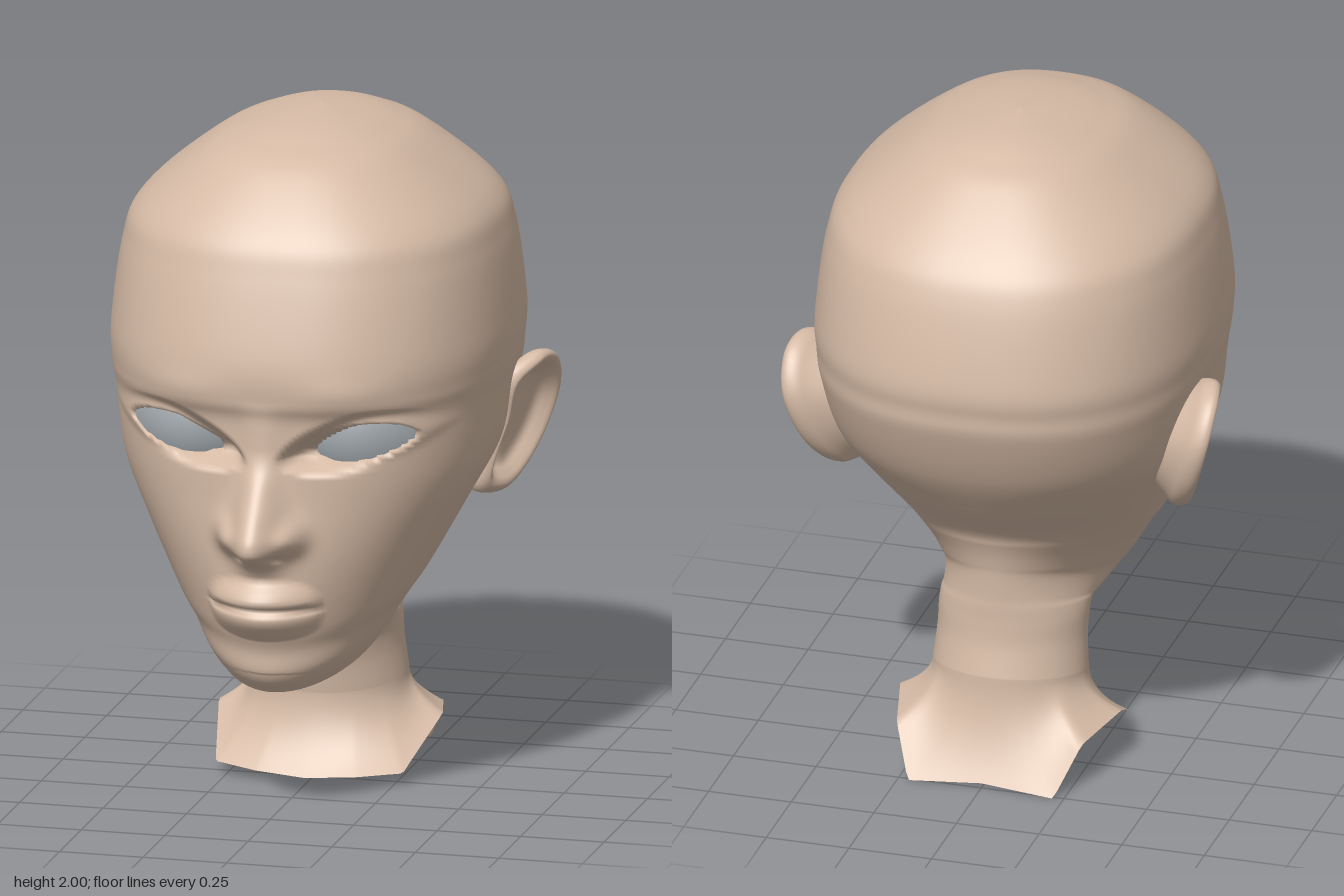
import * as THREE from 'three';

const { smoothstep, clamp, lerp } = THREE.MathUtils;
const spow = (v, p) => Math.sign(v) * Math.abs(v) ** p;
const gauss = (x, s) => Math.exp(-((x / s) ** 2));

// Catmull-Rom through a short list of values
function spline(a, s) {
  const k = clamp(Math.floor(s), 0, a.length - 2), f = clamp(s - k, 0, 1);
  const b = a[k], c = a[k + 1], p = k > 0 ? a[k - 1] : b, d = k + 2 < a.length ? a[k + 2] : c;
  return b + 0.5 * f * (c - p + f * (2 * p - 5 * b + 4 * c - d + f * (3 * (b - c) + d - p)));
}

// Smooth sheet of rows x cols points, closed around the columns
function sheet(rows, cols, point, flip) {
  const pos = [], index = [];
  for (let i = 0; i <= rows; i++) for (let j = 0; j < cols; j++) pos.push(...point(i / rows, j / cols));
  for (let i = 0; i < rows; i++) {
    for (let j = 0; j < cols; j++) {
      const k = (j + 1) % cols;
      const a = i * cols + j, b = a + cols, c = (i + 1) * cols + k, d = i * cols + k;
      if (flip) index.push(a, c, b, a, d, c);
      else index.push(a, b, c, a, c, d);
    }
  }
  const g = new THREE.BufferGeometry();
  g.setAttribute('position', new THREE.Float32BufferAttribute(pos, 3));
  g.setIndex(index);
  g.computeVertexNormals();
  return g;
}

// Tilted rings from crown to neck: front y, front z, back y, back z, half width
const rings = [
  [2.0, -0.1, 2.0, -0.1, 0],
  [1.985, 0.09, 1.985, -0.27, 0.1],
  [1.955, 0.23, 1.955, -0.37, 0.21],
  [1.9, 0.36, 1.9, -0.47, 0.32],
  [1.75, 0.51, 1.75, -0.63, 0.5],
  [1.63, 0.565, 1.63, -0.7, 0.55],
  [1.4, 0.625, 1.4, -0.755, 0.578],
  [1.28, 0.625, 1.3, -0.75, 0.575],
  [1.2, 0.603, 1.22, -0.735, 0.565],
  [1.0, 0.6, 1.05, -0.655, 0.535],
  [0.8, 0.6, 0.91, -0.55, 0.455],
  [0.6, 0.573, 0.79, -0.445, 0.37],
  [0.52, 0.555, 0.74, -0.42, 0.325],
  [0.45, 0.552, 0.7, -0.405, 0.29],
  [0.4, 0.515, 0.66, -0.395, 0.26],
  [0.375, 0.45, 0.63, -0.39, 0.238],
  [0.4, 0.22, 0.56, -0.385, 0.222],
  [0.435, 0.12, 0.52, -0.385, 0.22],
  [0.42, 0.055, 0.47, -0.385, 0.22],
  [0.35, 0.022, 0.4, -0.39, 0.22],
  [0.25, 0.005, 0.31, -0.41, 0.228],
];
const ringColumns = rings[0].map((_, c) => rings.map(r => r[c]));

// Ragged lower edge of the neck, front to back: fraction, x, y, z
const hem = [
  [0, 0, 0.02, 0.1], [0.17, 0.15, 0.03, 0.09], [0.33, 0.28, 0.04, 0.05], [0.55, 0.335, 0.16, -0.2],
  [0.72, 0.28, 0.14, -0.42], [0.86, 0.22, 0.0, -0.51], [1, 0, 0.015, -0.5],
];
function hemPoint(q) {
  let k = 0;
  while (k < hem.length - 2 && q > hem[k + 1][0]) k++;
  const f = (q - hem[k][0]) / (hem[k + 1][0] - hem[k][0]);
  return [1, 2, 3].map(c => lerp(hem[k][c], hem[k + 1][c], f));
}

// Almond eye outline and the curved surface of the eye
const EYE_X = 0.28, EYE_W = 0.138, LID_P = 1.6;
const eyeLine = x => 1.143 + 0.2 * (x - EYE_X);
const lidHeight = v => (v > 0 ? 0.066 : 0.04);
const eyeZ = (x, y) => 0.532 - 3.2 * (x - 0.24) ** 2 - 2.5 * (y - 1.15) ** 2 + 0.15 * (y - 1.15);
function eyeDistance(x, y) {
  const u = Math.abs(x - EYE_X) / EYE_W, dy = y - eyeLine(x);
  return (u ** LID_P + Math.abs(dy / lidHeight(dy)) ** LID_P) ** (1 / LID_P);
}

// Nose ridge heights every 0.04 down from y = 1.28
const noseRidge = [0, 0.006, 0.012, 0.015, 0.018, 0.032, 0.058, 0.085, 0.115, 0.14, 0.157, 0.142, 0.055, 0.015, 0];

// Forward relief of the face at (x, y), x taken as positive
function relief(x, y) {
  let h = 0;
  // nose with wings and nostrils
  const ny = y - 1.5 * x * x;
  if (ny < 1.28 && ny > 0.72) {
    const sigma = 0.052 + 0.026 * smoothstep(1.1 - ny, 0, 0.22);
    h += spline(noseRidge, (1.28 - ny) / 0.04) * Math.exp(-((x / sigma) ** 2.4));
  }
  h += 0.055 * gauss(x - 0.097, 0.036) * gauss(y - 0.882, 0.045);
  h -= 0.03 * gauss(x - 0.05, 0.02) * gauss(y - 0.828, 0.012);
  // brow and muzzle
  h += 0.01 * gauss(x - 0.25, 0.13) * gauss(y - 1.3, 0.05);
  h += 0.035 * gauss(x, 0.14) * gauss(y - 0.68, 0.14);
  // lips
  if (x < 0.165) {
    const m = Math.sqrt(1 - (x / 0.165) ** 2), tall = Math.sqrt(m);
    const up = (y - 0.66) / (0.09 * tall), low = (0.66 - y) / (0.105 * tall);
    if (up > 0 && up < 1) h += 0.056 * m * Math.sin(Math.PI * up ** 0.55);
    if (low > 0 && low < 1) h += 0.034 * m * Math.sin(Math.PI * low ** 0.65);
    h -= 0.02 * tall * gauss(y - 0.66, 0.009);
  }
  return h;
}

// Head and neck as one skin
const NECK_START = 0.95;
function headPoint(s, c) {
  const u = c * 2 - 1, q = Math.abs(u) ** 1.7, t = Math.PI * q;
  const k = Math.min(s / NECK_START, 1) * (rings.length - 1);
  const [fy, fz, by, bz, w] = ringColumns.map(a => spline(a, k));
  // squarer at the skull, rounder at the chin and neck
  const p = 2 / (1.95 + 0.45 * smoothstep(fy, 0.4, 1.25));
  const f = (1 - spow(Math.cos(t), p)) / 2;
  let x = Math.max(w, 0) * Math.abs(Math.sin(t)) ** p;
  let y = lerp(fy, by, f), z = lerp(fz, bz, f);
  if (s > NECK_START) {
    const g = (s - NECK_START) / (1 - NECK_START), [hx, hy, hz] = hemPoint(q);
    x = lerp(x, hx, g * g);
    y = lerp(y, hy, g);
    z = lerp(z, hz, g * g);
  } else if (z > 0.2 && y > 0.45 && y < 1.5) {
    z += relief(x, y) * smoothstep(z, 0.25, 0.42);
    // eye opening with raised lids
    const d = eyeDistance(x, y);
    const lid = -0.045 + 0.06 * smoothstep(d, 0.9, 1.08);
    z = lerp(eyeZ(x, y) + lid, z, smoothstep(d, 1.1, 1.75));
  }
  return [x * Math.sign(u), y, z];
}

// Ear outline (z, y) and its section from hollow over the rim to the back
const earOutline = new THREE.CatmullRomCurve3([
  [-0.12, 1.2], [-0.21, 1.26], [-0.31, 1.235], [-0.375, 1.13], [-0.355, 1.0], [-0.29, 0.9],
  [-0.2, 0.845], [-0.115, 0.86], [-0.105, 0.95], [-0.12, 1.07],
].map(([z, y]) => new THREE.Vector3(0, y, z)), true);
const earScale = [0, 0.4, 0.62, 0.74, 0.84, 0.93, 1.0, 0.98, 0.85, 0.6];
const earLift = [-0.03, -0.03, -0.022, 0.0, 0.018, 0.02, 0.0, -0.03, -0.06, -0.12];

const earPoint = side => (s, c) => {
  const p = earOutline.getPoint(c), k = s * (earScale.length - 1);
  const r = spline(earScale, k);
  const y = lerp(1.07, p.y, r), z = lerp(-0.22, p.z, r);
  const lift = spline(earLift, k) - 0.03 * smoothstep(z, -0.2, -0.1);
  return [side * (0.54 + (-0.1 - z) * 0.25 + (y - 1.05) * 0.25 + lift), y, z];
};

const eyePoint = side => (s, c) => {
  const a = c * Math.PI * 2, r = s * 1.1;
  const v = r * spow(Math.sin(a), 2 / LID_P);
  const x = EYE_X + EYE_W * r * spow(Math.cos(a), 2 / LID_P);
  const y = eyeLine(x) + v * lidHeight(v);
  return [side * x, y, eyeZ(x, y)];
};

export function createModel() {
  const group = new THREE.Group();
  const skin = new THREE.MeshStandardMaterial({ color: 0xd6bba6, side: THREE.DoubleSide });
  skin.name = 'skin';
  const eyeGrey = new THREE.MeshStandardMaterial({ color: 0xa8afb4, side: THREE.DoubleSide });
  eyeGrey.name = 'eye grey';
  const add = (name, geometry, material) => {
    const mesh = new THREE.Mesh(geometry, material);
    mesh.name = name;
    group.add(mesh);
  };

  add('headAndNeck', sheet(360, 144, headPoint, false), skin);
  for (const [label, side] of [['left', 1], ['right', -1]]) {
    add(label + 'Ear', sheet(36, 48, earPoint(side), side > 0), skin);
    add(label + 'Eye', sheet(12, 48, eyePoint(side), side < 0), eyeGrey);
  }
  return group;
}
